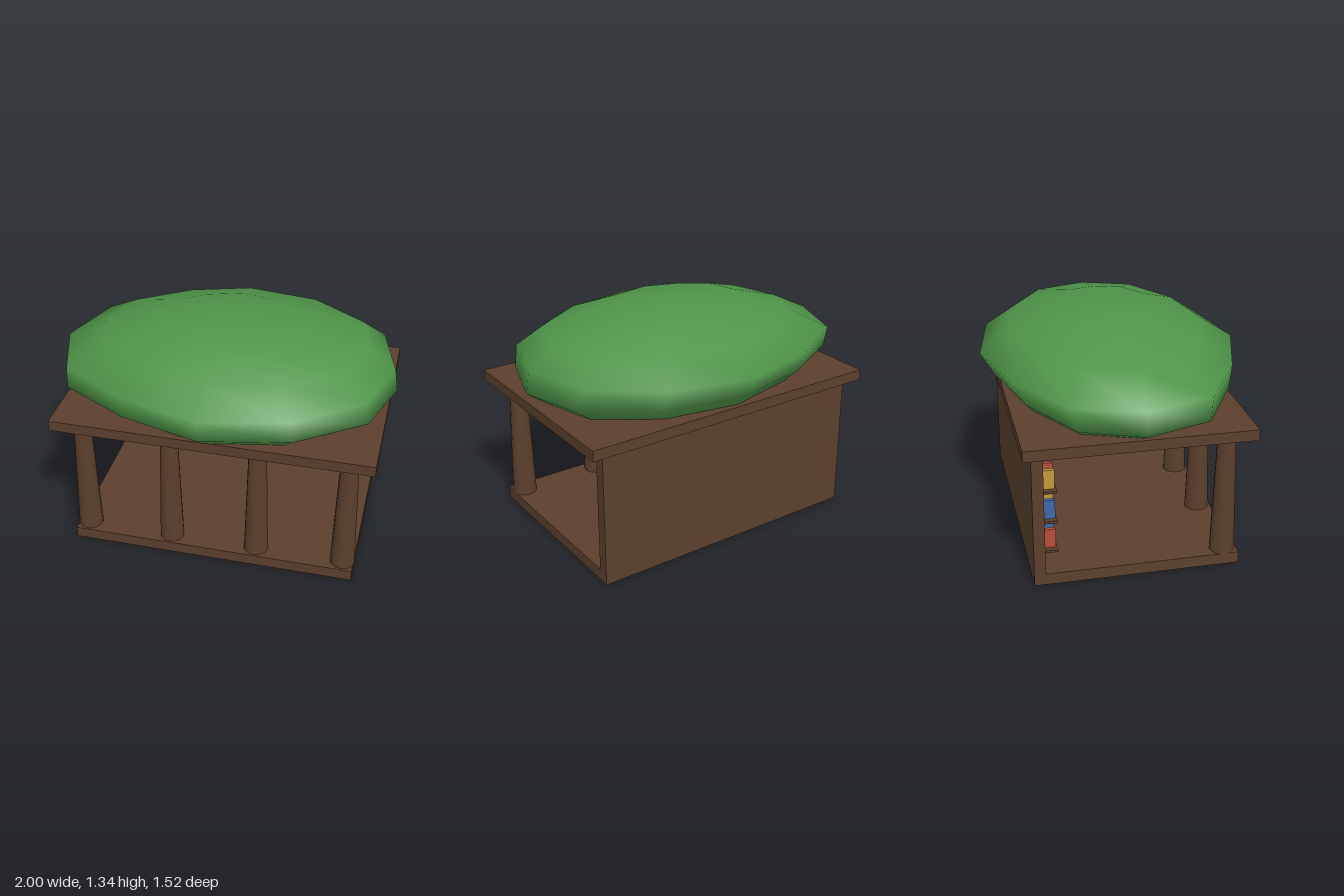
import * as THREE from 'three';
import { mergeVertices } from 'three/addons/utils/BufferGeometryUtils.js';

const material = (name, color) => {
  const m = new THREE.MeshStandardMaterial({ color });
  m.name = name;
  return m;
};

// Canopy rings from top to bottom: y, then reach towards -x, +x, -z, +z
const RINGS = [
  [1.34, 0, 0, 0, 0],
  [1.307, 0.41, 0.44, 0.32, 0.33],
  [1.21, 0.74, 0.83, 0.585, 0.57],
  [1.087, 0.99, 0.975, 0.76, 0.76],
  [0.952, 1, 0.995, 0.68, 0.74],
  [0.815, 0.74, 0.8, 0.56, 0.575],
  [0.714, 0.36, 0.44, 0.29, 0.3],
  [0.687, 0, 0, 0, 0],
];
// Slight bulges around the canopy, starting at -x and turning towards +z
const BULGE = [1, 1.01, 0.94, 1, 1, 1.015, 1, 1.03, 1.02, 1, 0.95, 1];

// Low-poly sphere with each ring moved to its own uneven oval
function canopyGeometry() {
  const sphere = new THREE.SphereGeometry(1, 12, RINGS.length - 1);
  const pos = sphere.attributes.position;
  for (let i = 0; i < pos.count; i++) {
    const [y, left, right, back, front] = RINGS[Math.floor(i / 13)];
    const step = (i % 13) % 12;
    const angle = step * Math.PI / 6;
    const cx = -Math.cos(angle) * BULGE[step];
    const cz = Math.sin(angle) * BULGE[step];
    const x = cx * (cx < 0 ? left : right);
    pos.setXYZ(i, x, y + 0.012 * x, cz * (cz < 0 ? back : front));
  }
  sphere.deleteAttribute('uv');
  sphere.deleteAttribute('normal');
  const smooth = mergeVertices(sphere, 1e-4);
  smooth.computeVertexNormals();
  return smooth;
}

export function createModel() {
  const model = new THREE.Group();
  model.name = 'treeLibrary';
  const wood = material('wood brown', 0x5c402d);
  const leaf = material('leaf green', 0x4f9549);
  const covers = [
    material('book red', 0xb84c3c),
    material('book blue', 0x3f68a8),
    material('book yellow', 0xc29a38),
  ];
  const CX = 0.03; // the pavilion sits slightly off centre under the canopy

  const add = (name, geometry, mat, x, y, z, parent = model) => {
    const mesh = new THREE.Mesh(geometry, mat);
    mesh.name = name;
    mesh.position.set(x, y, z);
    parent.add(mesh);
  };
  const box = (name, w, h, d, mat, x, bottom, z, parent) =>
    add(name, new THREE.BoxGeometry(w, h, d), mat, x, bottom + h / 2, z, parent);

  // Floor, back wall and flat roof
  box('floor', 1.685, 0.068, 1.18, wood, CX, 0, 0.002);
  box('backWall', 1.685, 0.747, 0.065, wood, CX, 0.066, -0.5555);
  box('roof', 1.855, 0.063, 1.283, wood, CX, 0.812, 0.001);

  // Four tapered trunk columns along the front
  for (let i = 0; i < 4; i++) {
    add('column', new THREE.CylinderGeometry(0.051, 0.073, 0.745, 12), wood,
      CX + (i - 1.5) * 0.517, 0.4395, 0.51);
  }

  // Three shelves of books, colours shifting by one on each shelf
  for (let s = 0; s < 3; s++) {
    const shelf = new THREE.Group();
    shelf.name = 'bookshelf';
    model.add(shelf);
    const y = 0.148 + s * 0.185;
    box('shelfBoard', 1.51, 0.015, 0.085, wood, CX, y, -0.4795, shelf);
    for (let i = 0; i < 22; i++) {
      box('book', 0.024, 0.115 + (i % 3) * 0.01, 0.07, covers[(i + s) % 3],
        -0.682 + i * 0.0678, y + 0.015, -0.48, shelf);
    }
  }

  // Leafy canopy resting through the roof
  add('canopy', canopyGeometry(), leaf, 0, 0, 0);

  return model;
}
